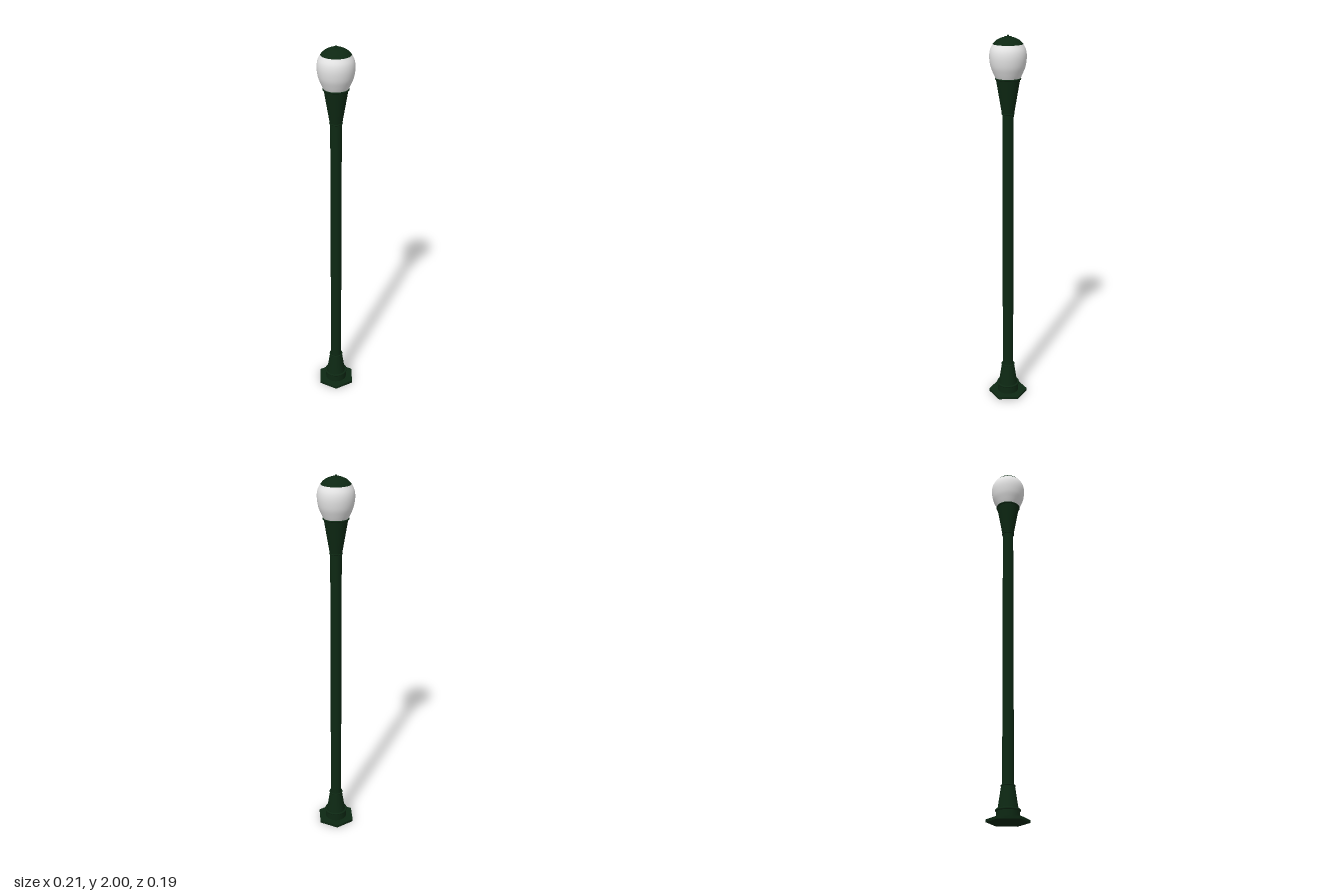
import * as THREE from 'three';

const paint = new THREE.MeshStandardMaterial({ color: 0x0d2813 });
paint.name = 'dark green paint';
const glass = new THREE.MeshStandardMaterial({ color: 0xe6e6e6 });
glass.name = 'white glass';

export function createModel() {
  const lamp = new THREE.Group();
  lamp.name = 'streetLamp';

  const add = (name, geometry, material = paint, y = 0) => {
    const mesh = new THREE.Mesh(geometry, material);
    mesh.name = name;
    mesh.position.y = y;
    lamp.add(mesh);
    return mesh;
  };
  // tapered round section between two heights
  const section = (name, y0, y1, r0, r1, sides = 32) =>
    add(name, new THREE.CylinderGeometry(r1, r0, y1 - y0, sides), paint, (y0 + y1) / 2);
  // rounded ring around the post
  const ring = (name, y, radius, tube) =>
    add(name, new THREE.TorusGeometry(radius, tube, 10, 32).rotateX(Math.PI / 2), paint, y);
  // smooth turned shape through a few [radius, height] points
  const turned = (name, points, material) => {
    const curve = new THREE.SplineCurve(points.map(([r, y]) => new THREE.Vector2(r, y)));
    const profile = curve.getPoints(24);
    profile.forEach((p) => { p.x = Math.max(p.x, 0); });
    return add(name, new THREE.LatheGeometry(profile, 40), material);
  };

  // hexagonal foot with corners on the x axis
  section('footPlate', 0, 0.014, 0.107, 0.107, 6).rotation.y = Math.PI / 2;
  // pedestal
  section('baseDrum', 0.014, 0.058, 0.058, 0.058);
  ring('baseRing', 0.058, 0.057, 0.006);
  section('baseCone', 0.058, 0.178, 0.052, 0.034);
  ring('lowerCollar', 0.178, 0.033, 0.004);
  // pole
  section('pole', 0.178, 1.61, 0.029, 0.029);
  // lamp holder
  ring('upperCollar', 1.61, 0.03, 0.004);
  section('holderCone', 1.61, 1.787, 0.031, 0.061);
  ring('holderRim', 1.787, 0.061, 0.005);

  // globe
  turned('globe', [
    [0.061, 1.787], [0.074, 1.815], [0.087, 1.85], [0.093, 1.893],
    [0.089, 1.928], [0.075, 1.957],
  ], glass);
  // cap and finial
  turned('cap', [
    [0.0755, 1.956], [0.058, 1.974], [0.035, 1.986], [0.018, 1.99], [0, 1.991],
  ], paint);
  section('finialBase', 1.988, 1.993, 0.019, 0.017);
  section('finialTip', 1.992, 2, 0.006, 0.004, 12);

  return lamp;
}
